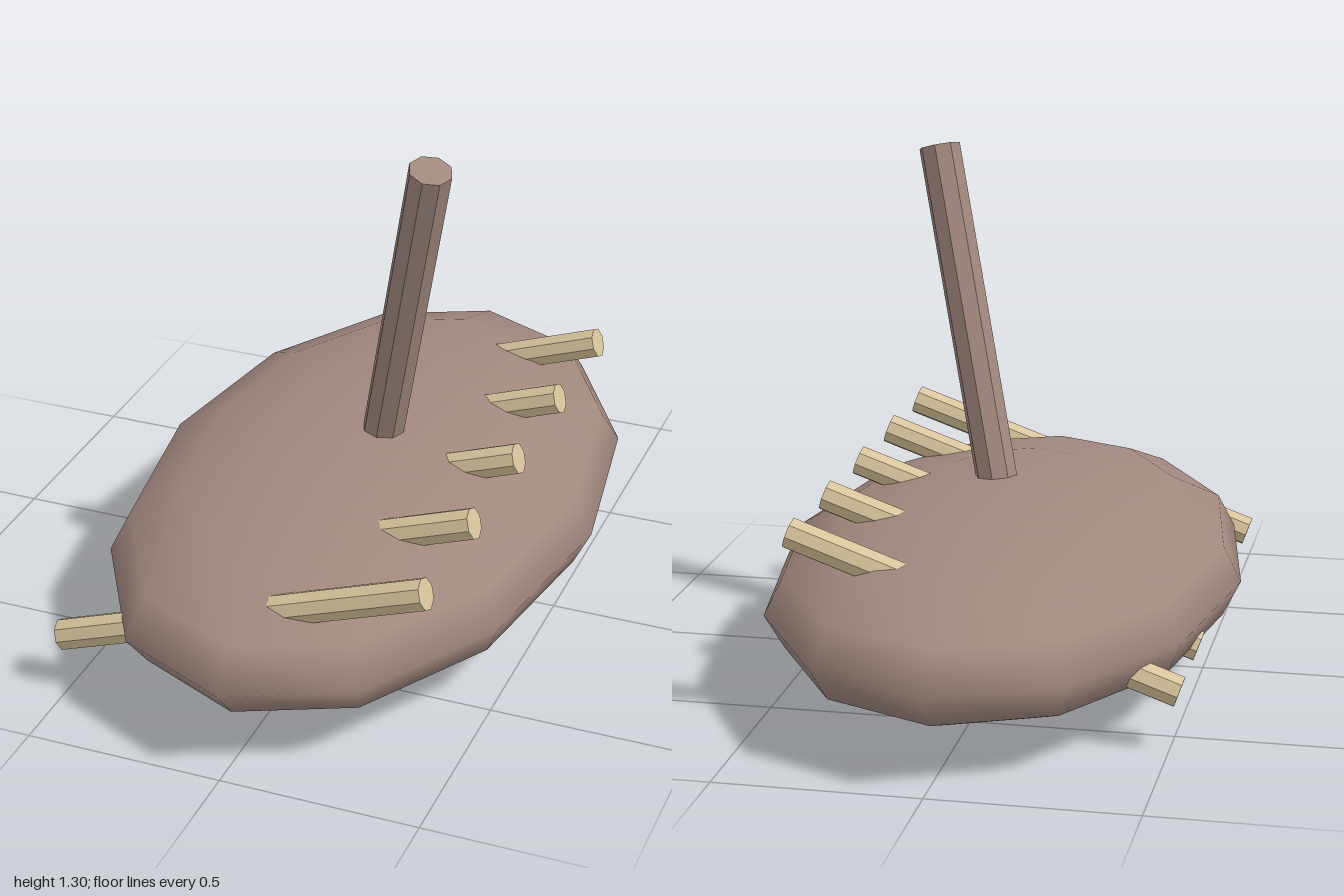
import * as THREE from 'three';

const bark = new THREE.MeshStandardMaterial({ color: 0xa1887f });
const barkFlat = new THREE.MeshStandardMaterial({ color: 0xa1887f, flatShading: true });
const paleWood = new THREE.MeshStandardMaterial({ color: 0xd8c59c, flatShading: true });

// Eight-sided rod running between two points
function rod(name, from, to, radius, material) {
  const a = new THREE.Vector3(...from);
  const b = new THREE.Vector3(...to);
  const direction = b.clone().sub(a);
  const mesh = new THREE.Mesh(
    new THREE.CylinderGeometry(radius, radius, direction.length(), 8), material);
  mesh.quaternion.setFromUnitVectors(new THREE.Vector3(0, 1, 0), direction.normalize());
  mesh.position.copy(a).add(b).multiplyScalar(0.5);
  mesh.name = name;
  return mesh;
}

export function createModel() {
  const model = new THREE.Group();
  model.name = 'model';

  // Flattened, elongated body
  const bodyGeometry = new THREE.SphereGeometry(1, 12, 8);
  bodyGeometry.scale(0.593, 0.236, 1);
  const body = new THREE.Mesh(bodyGeometry, bark);
  body.position.y = 0.24;
  body.name = 'body';
  model.add(body);

  // Leaning handle rooted in the middle of the body
  model.add(rod('handle', [0, 0.25, 0.005], [0.236, 1.288, 0.238], 0.054, barkFlat));

  // Slanted pegs passing right through the body
  const pegs = new THREE.Group();
  pegs.name = 'pegs';
  for (let i = 0; i < 5; i++) {
    const z = 0.763 - i * 0.334;
    pegs.add(rod('peg', [-0.52, 0.144, z], [0.425, 0.478, z], 0.04, paleWood));
  }
  model.add(pegs);

  return model;
}
